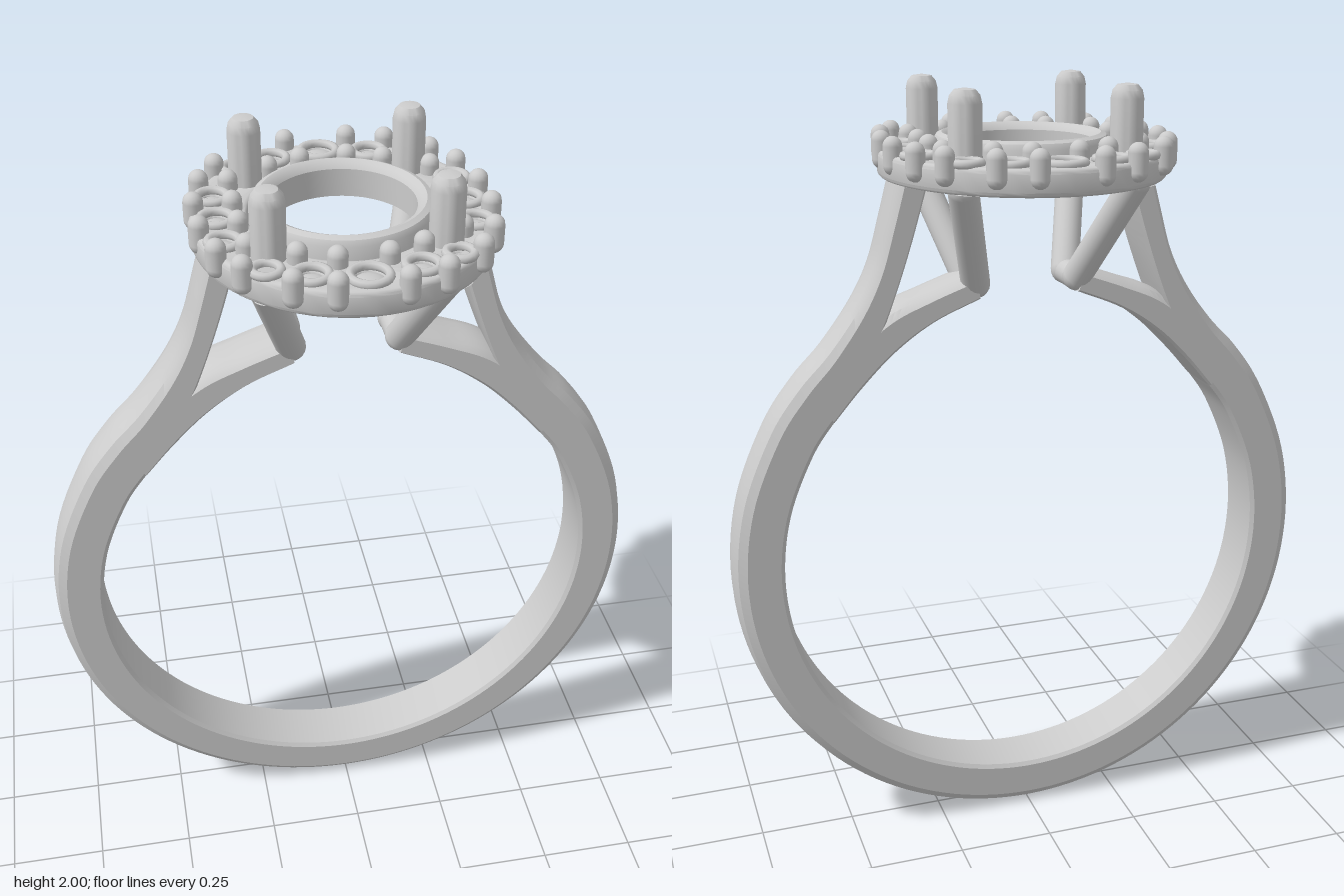
import * as THREE from 'three';
import { mergeVertices, toCreasedNormals } from 'three/addons/utils/BufferGeometryUtils.js';

const material = new THREE.MeshStandardMaterial({ color: 0xcccccc, side: THREE.DoubleSide });

function add(parent, name, geometry, x = 0, y = 0, z = 0) {
  const mesh = new THREE.Mesh(geometry, material);
  mesh.name = name;
  mesh.position.set(x, y, z);
  parent.add(mesh);
  return mesh;
}

// Every distinct mirror image of a point [x, z] across both axes
function mirrored([x, z]) {
  const out = [];
  for (const sx of x ? [1, -1] : [1]) for (const sz of z ? [1, -1] : [1]) out.push([sx * x, sz * z]);
  return out;
}

// Band cross-section: [fraction from inner to outer edge, z], flat inside and domed outside
const W = 0.077;
const SECTION = [[0, W - 0.008], [0.08, W], [0.75, W], [0.92, W * 0.8], [0.98, W * 0.45], [1, 0],
  [0.98, -W * 0.45], [0.92, -W * 0.8], [0.75, -W], [0.08, -W], [0, -W + 0.008]];

// Sweep the section between paired [innerX, innerY, outerX, outerY] control points
function bandGeometry(pairs, steps) {
  const curve = k => new THREE.CatmullRomCurve3(
    pairs.map(p => new THREE.Vector3(p[k], p[k + 1], 0)), false, 'catmullrom', 0.5);
  const inner = curve(0), outer = curve(2), n = SECTION.length;
  const pos = [], idx = [];
  for (let i = 0; i <= steps; i++) {
    const a = inner.getPoint(i / steps), b = outer.getPoint(i / steps);
    for (const [s, z] of SECTION) pos.push(a.x + (b.x - a.x) * s, a.y + (b.y - a.y) * s, z);
  }
  for (let i = 0; i < steps; i++) for (let j = 0; j < n; j++) {
    const a = i * n + j, b = i * n + (j + 1) % n;
    idx.push(a, b, a + n, b, b + n, a + n);
  }
  for (let j = 1; j < n - 1; j++) {
    const e = steps * n;
    idx.push(0, j + 1, j, e, e + j, e + j + 1);
  }
  const g = new THREE.BufferGeometry();
  g.setAttribute('position', new THREE.Float32BufferAttribute(pos, 3));
  g.setIndex(idx);
  // Keep the faces pointing outwards whichever way the path runs
  let volume = 0;
  const v = [0, 1, 2].map(() => new THREE.Vector3());
  for (let i = 0; i < idx.length; i += 3) {
    v.forEach((p, k) => p.fromArray(pos, idx[i + k] * 3));
    volume += v[0].dot(v[1].clone().cross(v[2]));
  }
  if (volume < 0) g.setIndex(idx.reverse());
  return toCreasedNormals(g, 0.6);
}

const flip = pairs => pairs.map(([a, b, c, d]) => [-a, b, -c, d]);

function rod(parent, name, from, to, radius) {
  const a = new THREE.Vector3(...from), b = new THREE.Vector3(...to);
  const dir = b.clone().sub(a);
  const mesh = add(parent, name, new THREE.CapsuleGeometry(radius, dir.length(), 6, 20));
  mesh.position.copy(a).add(b).multiplyScalar(0.5);
  mesh.quaternion.setFromUnitVectors(new THREE.Vector3(0, 1, 0), dir.normalize());
}

const lathe = (points, segments) =>
  toCreasedNormals(new THREE.LatheGeometry(points.map(p => new THREE.Vector2(...p)), segments), 0.6);

export function createModel() {
  const model = new THREE.Group();
  model.name = 'ring';

  // Shank: circular at the bottom, sweeping up into two shoulders
  const half = [];
  for (const deg of [0, 15, 30, 45, 60, 75, 90, 105, 120, 130]) {
    const s = Math.sin(deg * Math.PI / 180), c = Math.cos(deg * Math.PI / 180);
    half.push([0.655 * s, 0.782 - 0.655 * c, 0.782 * s, 0.785 - 0.782 * c]);
  }
  half.push([0.45, 1.28, 0.52, 1.37], [0.39, 1.39, 0.44, 1.475], [0.345, 1.5, 0.39, 1.57],
    [0.3, 1.63, 0.358, 1.68], [0.255, 1.78, 0.33, 1.785]);
  add(model, 'shank', bandGeometry([...flip(half).reverse(), ...half.slice(1)], 168));

  // Inner bridges that carry the prong struts
  const bridge = [[0.51, 1.19, 0.55, 1.25], [0.435, 1.275, 0.47, 1.37], [0.35, 1.357, 0.365, 1.455],
    [0.25, 1.425, 0.26, 1.495], [0.13, 1.476, 0.145, 1.535]];
  for (const s of [1, -1]) {
    const side = s > 0 ? 'left' : 'right';
    add(model, side + 'Bridge', bandGeometry(s > 0 ? bridge : flip(bridge), 24));
    rod(model, side + 'BridgeTip', [s * 0.135, 1.507, -0.045], [s * 0.135, 1.507, 0.045], 0.033);
  }

  // Four sloping struts, each ending in an upright prong
  const prong = lathe([[0, 1.76], [0.04, 1.76], [0.04, 1.965], [0.036, 1.983], [0.025, 1.996], [0, 2]], 24);
  for (const [x, z] of mirrored([1, 1])) {
    rod(model, 'strut', [x * 0.135, 1.51, z * 0.045], [x * 0.215, 1.772, z * 0.225], 0.037);
    add(model, 'prong', prong, x * 0.2, 0, z * 0.195);
  }

  // Oval halo plate pierced by the small stone seats
  const halo = new THREE.Group();
  halo.name = 'halo';
  model.add(halo);
  const seats = [[0, 0.325, 0.044], [0.122, 0.3, 0.038], [0.215, 0.262, 0.032],
    [0.29, 0.115, 0.036], [0.293, 0, 0.038]]
    .flatMap(([x, z, r]) => mirrored([x, z]).map(p => [...p, r]));
  const plate = new THREE.Shape().absellipse(0, 0, 0.343, 0.378, 0, Math.PI * 2);
  plate.holes.push(new THREE.Path().absellipse(0, 0, 0.232, 0.252, 0, Math.PI * 2, true));
  for (const [x, z, r] of seats) {
    plate.holes.push(new THREE.Path().absarc(x, -z, r, 0, Math.PI * 2, true));
  }
  const plateGeometry = new THREE.ExtrudeGeometry(plate, {
    depth: 0.041, bevelThickness: 0.012, bevelSize: 0.012, bevelSegments: 3, curveSegments: 32,
  });
  plateGeometry.rotateX(-Math.PI / 2);
  add(halo, 'haloPlate', toCreasedNormals(plateGeometry, 0.6), 0, 1.782, 0);

  // Seat rims and domed seat floors
  for (const [x, z, r] of seats) {
    const rim = new THREE.TorusGeometry(r, 0.011, 8, 20).rotateX(Math.PI / 2);
    add(halo, 'seatRim', rim, x, 1.84, z);
    const floor = new THREE.SphereGeometry(r, 16, 8).scale(1, 0.4, 1);
    add(halo, 'seatFloor', floor, x, 1.818, z);
  }

  // Round-topped beads between the seats, on the outer and inner edges
  const bead = mergeVertices(new THREE.CapsuleGeometry(0.024, 0.045, 5, 14));
  const beads = [[0.078, 0.372], [0.17, 0.342], [0.268, 0.262], [0.315, 0.178], [0.34, 0.06],
    [0.058, 0.258], [0.142, 0.225], [0.246, 0.165], [0.25, 0.052]];
  for (const [x, z] of beads.flatMap(mirrored)) add(halo, 'bead', bead, x, 1.835, z);

  // Bezel ring for the centre stone
  const bezel = lathe([[0.178, 1.785], [0.212, 1.785], [0.222, 1.795], [0.222, 1.855], [0.214, 1.868],
    [0.2, 1.874], [0.187, 1.868], [0.178, 1.855], [0.178, 1.785]], 64);
  add(model, 'centreBezel', bezel.scale(0.98, 1, 1.01));

  return model;
}
